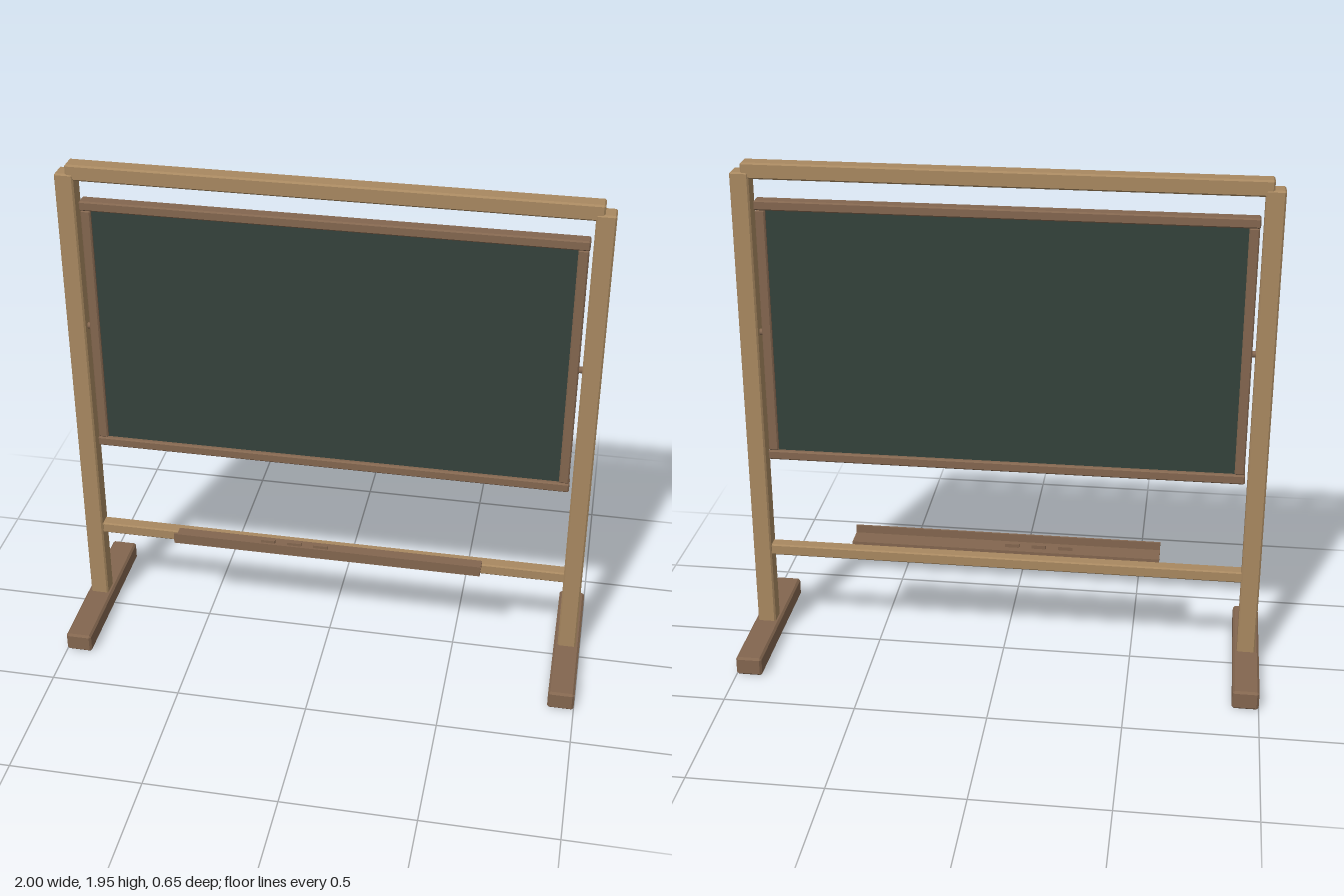
import * as THREE from 'three';
import { ConvexGeometry } from 'three/addons/geometries/ConvexGeometry.js';

// Box with every edge chamfered, given by its size
function chamferedBox(w, h, d, c) {
  const points = [];
  for (const x of [-1, 1]) for (const y of [-1, 1]) for (const z of [-1, 1]) {
    const [a, b, e] = [w / 2, h / 2, d / 2];
    points.push(
      new THREE.Vector3(x * a, y * (b - c), z * (e - c)),
      new THREE.Vector3(x * (a - c), y * b, z * (e - c)),
      new THREE.Vector3(x * (a - c), y * (b - c), z * e)
    );
  }
  return new ConvexGeometry(points);
}

export function createModel() {
  const model = new THREE.Group();
  model.name = 'chalkboardStand';

  const lightWood = new THREE.MeshStandardMaterial({ color: 0xa88860 });
  lightWood.name = 'lightWood';
  const darkWood = new THREE.MeshStandardMaterial({ color: 0x83664f });
  darkWood.name = 'darkWood';
  const slate = new THREE.MeshStandardMaterial({ color: 0x34423b });
  slate.name = 'slateGreen';

  function add(name, geometry, material, x, y, z, parent = model) {
    const mesh = new THREE.Mesh(geometry, material);
    mesh.name = name;
    mesh.position.set(x, y, z);
    parent.add(mesh);
    return mesh;
  }

  // Feet and posts
  for (const [side, s] of [['left', 1], ['right', -1]]) {
    add(side + 'Foot', chamferedBox(0.1, 0.075, 0.65, 0.008), darkWood, s * 0.95, 0.0375, 0);
    add(side + 'Post', chamferedBox(0.07, 1.85, 0.07, 0.006), lightWood, s * 0.95, 0.99, 0);
  }

  // Cross rails
  add('topRail', chamferedBox(1.89, 0.06, 0.064, 0.006), lightWood, 0, 1.92, 0);
  add('lowerRail', chamferedBox(1.84, 0.045, 0.05, 0.005), lightWood, 0, 0.393, 0);

  // Framed board hung between the posts
  const board = new THREE.Group();
  board.name = 'board';
  board.position.y = 1.298;
  model.add(board);
  add('writingPanel', new THREE.BoxGeometry(1.74, 0.96, 0.02), slate, 0, 0, 0, board);
  for (const [end, s] of [['top', 1], ['bottom', -1]]) {
    add(end + 'FrameBar', chamferedBox(1.81, 0.037, 0.05, 0.005), darkWood, 0, s * 0.494, 0, board);
  }
  for (const [side, s] of [['left', 1], ['right', -1]]) {
    add(side + 'FrameBar', chamferedBox(0.037, 0.952, 0.044, 0.005), darkWood, s * 0.884, 0, 0, board);
    const pivot = new THREE.CylinderGeometry(0.012, 0.012, 0.03, 12).rotateZ(Math.PI / 2);
    add(side + 'Pivot', pivot, darkWood, s * 0.905, 0, 0, board);
  }

  // Ledge with a raised front lip, resting on the lower rail
  const tray = new THREE.Group();
  tray.name = 'chalkTray';
  model.add(tray);
  add('trayBase', new THREE.BoxGeometry(1.2, 0.012, 0.085), darkWood, 0, 0.422, 0.06, tray);
  add('trayLip', new THREE.BoxGeometry(1.2, 0.042, 0.008), darkWood, 0, 0.438, 0.1, tray);

  // Small sticks lying in the tray
  for (let i = 0; i < 3; i++) {
    const stick = new THREE.BoxGeometry(0.055, 0.014, 0.012);
    add('chalkStick' + (i + 1), stick, darkWood, -0.235 + i * 0.104, 0.435, 0.052, tray);
  }

  return model;
}
